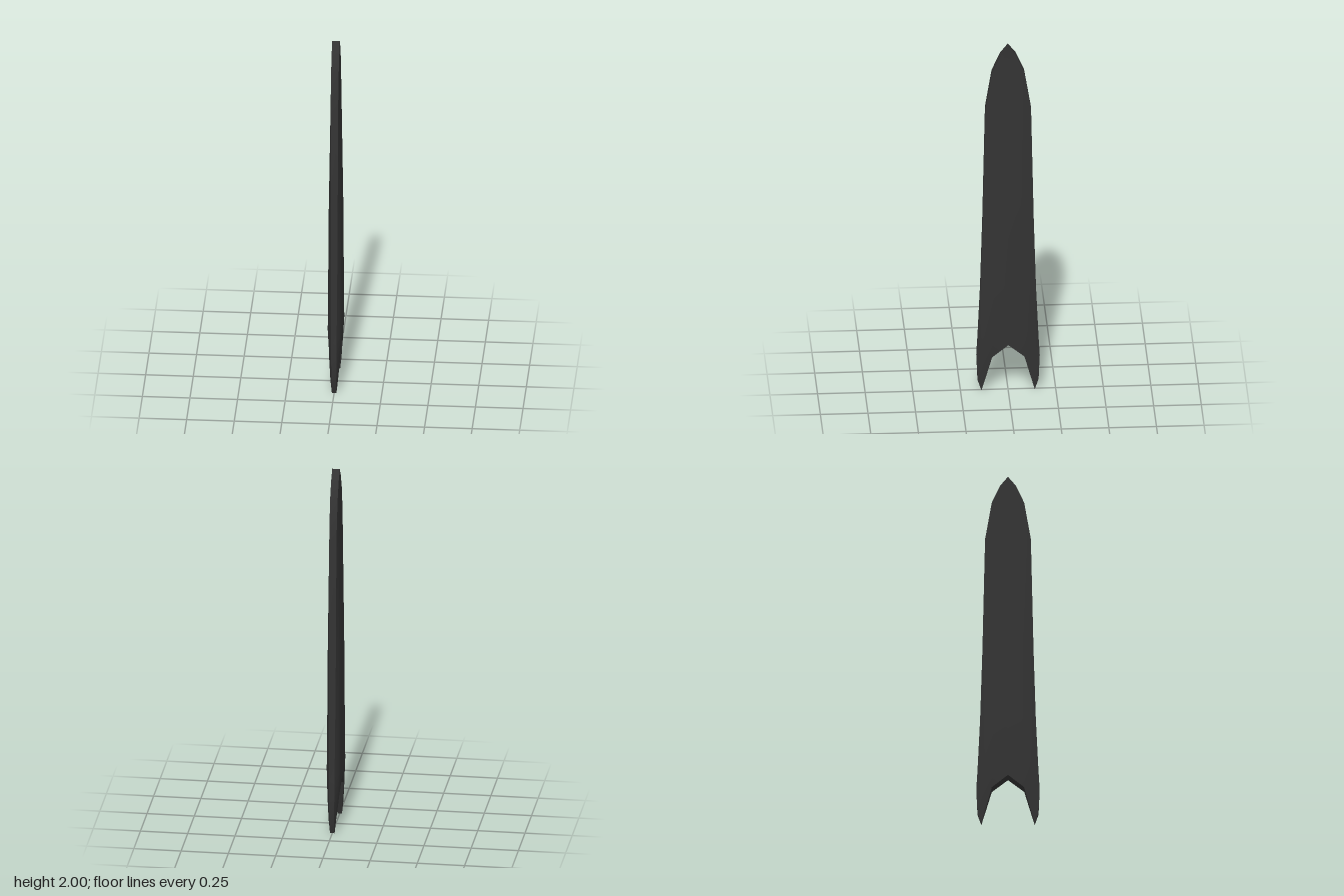
import * as THREE from 'three';
import { toCreasedNormals } from 'three/addons/utils/BufferGeometryUtils.js';

// One quarter of the blade: rows from the tip down, each with four points
// (centre, ridge, shoulder, edge) given as [z, y, half thickness].
function bladeRows() {
  // y, half width, then thickness at centre, ridge, shoulder and edge
  const upper = [
    [2.0, 0, 0.02, 0.02, 0.02, 0.02],
    [1.95, 0.04, 0.02, 0.02, 0.02, 0.02],
    [1.85, 0.085, 0.021, 0.021, 0.021, 0.02],
    [1.64, 0.12, 0.023, 0.024, 0.022, 0.019],
    [1.0, 0.134, 0.03, 0.034, 0.028, 0.018],
    [0.6, 0.146, 0.032, 0.036, 0.029, 0.016],
  ].map(([y, w, ...t]) => [0, 0.52, 0.82, 1].map((u, j) => [u * w, y, t[j]]));
  const notch = [0, 0.27, 0.033];
  const tip = [0.14, 0, 0.012];
  return [
    ...upper,
    [notch, [0.08, 0.34, 0.038], [0.132, 0.32, 0.03], [0.16, 0.3, 0.014]],
    [notch, [0.085, 0.2, 0.03], [0.13, 0.2, 0.027], [0.166, 0.2, 0.014]],
    [notch, [0.112, 0.1, 0.02], [0.137, 0.075, 0.02], [0.16, 0.06, 0.012]],
    [notch, tip, tip, tip],
  ];
}

function bladeGeometry() {
  const rows = bladeRows();
  const notchRow = 7;
  const positions = [];
  const triangle = new THREE.Triangle();

  const addTriangle = (a, b, c) => {
    if (triangle.set(a, b, c).getArea() < 1e-8) return;
    for (const p of [a, b, c]) positions.push(p.x, p.y, p.z);
  };
  const addQuad = (a, b, c, d, flip) => {
    const [p, q, r, s] = flip ? [d, c, b, a] : [a, b, c, d];
    addTriangle(p, q, r);
    addTriangle(p, r, s);
  };
  const point = ([z, y, x], sx, sz) => new THREE.Vector3(x * sx, y, z * sz);

  // Rim: down the outer edge, then up the inside of the notch
  const rim = rows.map((row) => row[3]);
  for (let i = rows.length - 2; i >= notchRow; i--) rim.push(rows[i][1]);
  rim.push(rows[notchRow][0]);

  for (const sz of [1, -1]) {
    // Broad faces
    for (const sx of [1, -1]) {
      for (let i = 0; i < rows.length - 1; i++) {
        for (let j = i < notchRow ? 0 : 1; j < 3; j++) {
          const corners = [rows[i][j], rows[i][j + 1], rows[i + 1][j + 1], rows[i + 1][j]];
          addQuad(...corners.map((c) => point(c, sx, sz)), sx * sz < 0);
        }
      }
    }
    // Narrow wall joining both faces
    for (let i = 0; i < rim.length - 1; i++) {
      addQuad(point(rim[i], 1, sz), point(rim[i], -1, sz),
        point(rim[i + 1], -1, sz), point(rim[i + 1], 1, sz), sz < 0);
    }
  }

  const geometry = new THREE.BufferGeometry();
  geometry.setAttribute('position', new THREE.Float32BufferAttribute(positions, 3));
  return toCreasedNormals(geometry, 0.6);
}

export function createModel() {
  const group = new THREE.Group();
  const blade = new THREE.Mesh(bladeGeometry(), new THREE.MeshStandardMaterial({ color: 0x333333 }));
  blade.name = 'notchedBlade';
  group.add(blade);
  return group;
}
